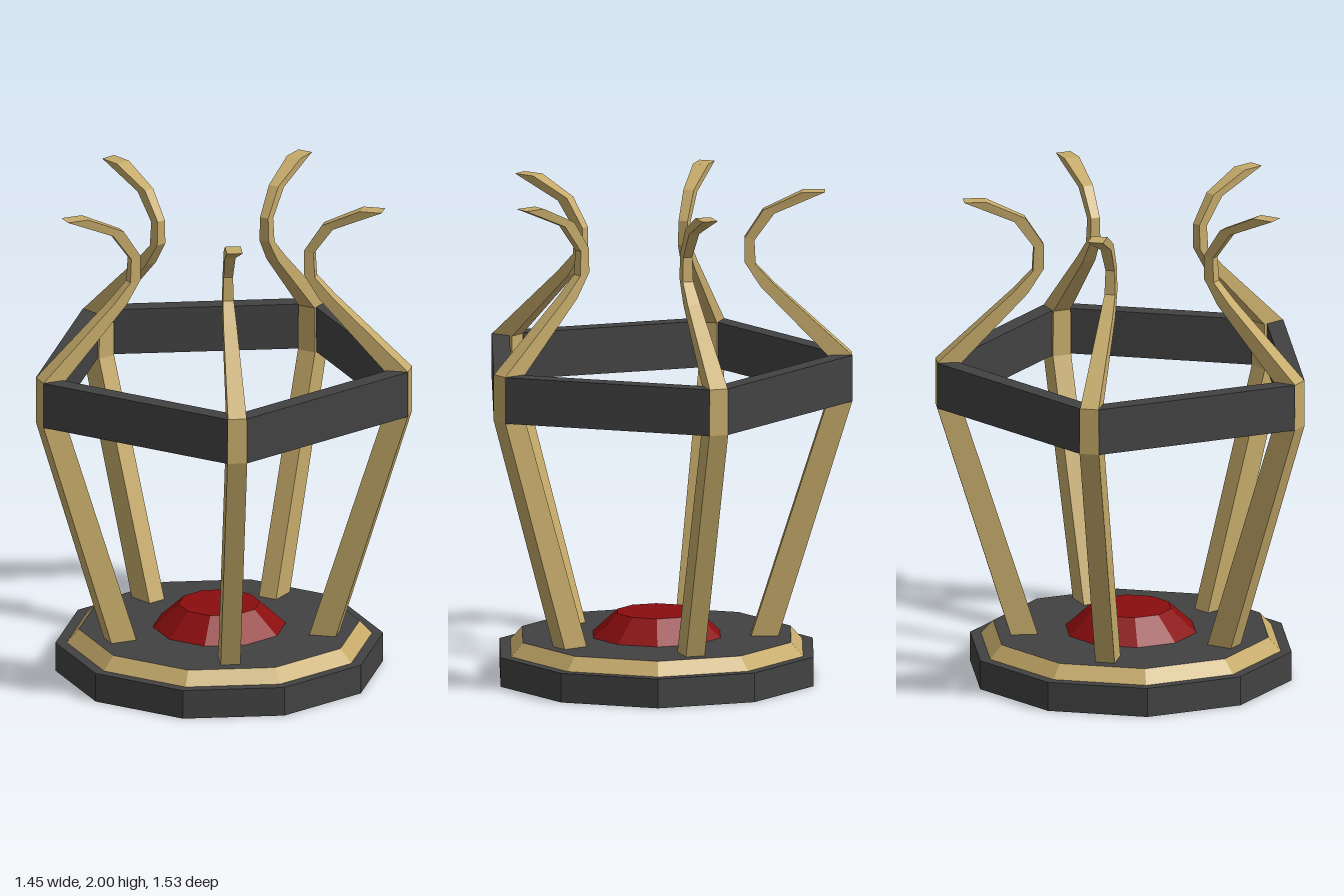
import * as THREE from 'three';

const CENTRE_X = 0.06; // the round base sits slightly off the bounding-box centre
const SIDES = 10;
const ARMS = 5;

function material(name, color) {
  const m = new THREE.MeshStandardMaterial({ color });
  m.name = name;
  return m;
}

// Hard-edged normals on every face
function faceted(geometry) {
  const g = geometry.index ? geometry.toNonIndexed() : geometry;
  g.computeVertexNormals();
  return g;
}

function addMesh(parent, name, geometry, mat) {
  const mesh = new THREE.Mesh(faceted(geometry), mat);
  mesh.name = name;
  parent.add(mesh);
  return mesh;
}

// Ten-sided tapered disc between two heights
function disc(rTop, rBottom, y0, y1) {
  return new THREE.CylinderGeometry(rTop, rBottom, y1 - y0, SIDES).translate(0, (y0 + y1) / 2, 0);
}

// Arm cross-sections: outer radius, outer y, inner radius, inner y, half width
const ARM_SECTIONS = [
  [0.49, 0.17, 0.38, 0.17, 0.04],
  [0.79, 1.14, 0.69, 1.14, 0.04],
  [0.79, 1.33, 0.69, 1.33, 0.038],
  [0.475, 1.62, 0.42, 1.61, 0.027],
  [0.40, 1.70, 0.355, 1.71, 0.022],
  [0.395, 1.80, 0.355, 1.81, 0.019],
  [0.475, 1.91, 0.43, 1.925, 0.022],
  [0.68, 2.0, 0.59, 2.0, 0.032],
];

function armGeometry() {
  const positions = [];
  const index = [];
  for (const [ro, yo, ri, yi, w] of ARM_SECTIONS) {
    positions.push(ro, yo, w, ro, yo, -w, ri, yi, -w, ri, yi, w);
  }
  const last = (ARM_SECTIONS.length - 1) * 4;
  for (let s = 0; s < last; s += 4) {
    for (let j = 0; j < 4; j++) {
      const k = (j + 1) % 4;
      index.push(s + j, s + k, s + 4 + k, s + j, s + 4 + k, s + 4 + j);
    }
  }
  index.push(0, 2, 1, 0, 3, 2); // foot
  index.push(last, last + 1, last + 2, last, last + 2, last + 3); // tip
  const g = new THREE.BufferGeometry();
  g.setAttribute('position', new THREE.Float32BufferAttribute(positions, 3));
  g.setIndex(index);
  return g;
}

// Five-sided band whose corners are notched just behind the arms' outer faces
function bandGeometry() {
  const outer = [];
  const inner = [];
  for (let i = 0; i < ARMS; i++) {
    const a = Math.PI + (i * 2 * Math.PI) / ARMS;
    const at = (r, w) => new THREE.Vector2(
      r * Math.cos(a) - w * Math.sin(a), r * Math.sin(a) + w * Math.cos(a));
    outer.push(at(0.79, -0.04), at(0.78, 0), at(0.79, 0.04));
    inner.push(at(0.73, 0));
  }
  const shape = new THREE.Shape(outer);
  shape.holes.push(new THREE.Path(inner));
  return new THREE.ExtrudeGeometry(shape, { depth: 0.19, bevelEnabled: false })
    .rotateX(-Math.PI / 2).translate(0, 1.14, 0);
}

export function createModel() {
  const gold = material('pale gold', 0xc5aa6a);
  const dark = material('charcoal', 0x424242);
  const red = material('deep red', 0x8a0d0e);

  const model = new THREE.Group();
  model.name = 'clawStand';
  const body = new THREE.Group();
  body.name = 'body';
  body.position.x = CENTRE_X;
  model.add(body);

  // Base with a gold sloping rim, a dark floor and the gem in the middle
  addMesh(body, 'base', disc(0.665, 0.665, 0, 0.12), dark);
  addMesh(body, 'rimAndFloor', disc(0.57, 0.62, 0.12, 0.175), [gold, dark, dark]);
  addMesh(body, 'gem', disc(0.166, 0.27, 0.175, 0.27), red);

  // Band around the arms
  addMesh(body, 'band', bandGeometry(), dark);

  // Five curved arms
  const arm = armGeometry();
  for (let i = 0; i < ARMS; i++) {
    addMesh(body, 'arm' + (i + 1), arm, gold).rotation.y = Math.PI + (i * 2 * Math.PI) / ARMS;
  }
  return model;
}
